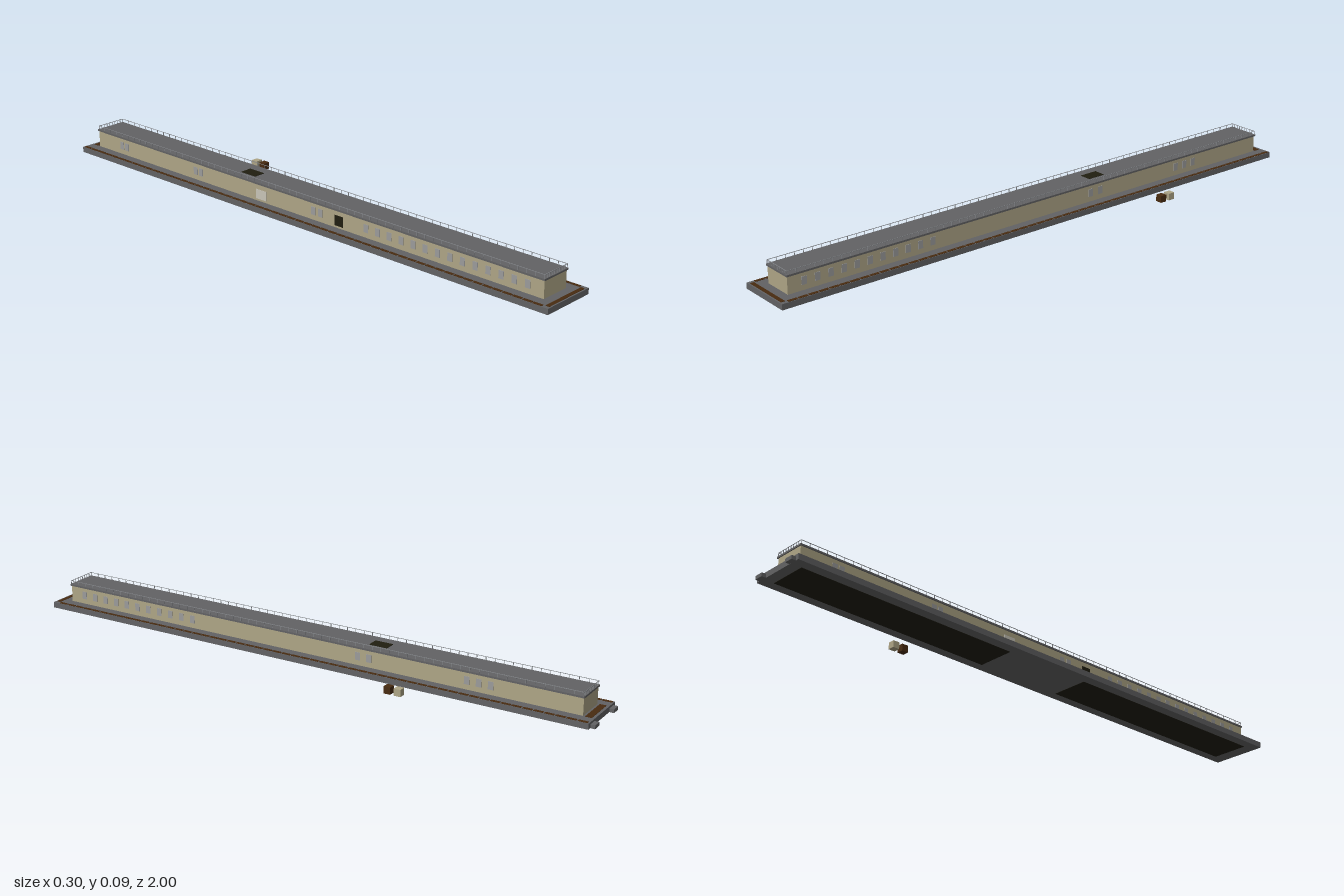
import * as THREE from 'three';

const mat = (name, color) => {
  const m = new THREE.MeshStandardMaterial({ color });
  m.name = name;
  return m;
};

export function createModel() {
  const concrete = mat('concrete grey', 0x626264);
  const tan = mat('tan wall', 0xaea586);
  const brown = mat('soil brown', 0x482b10);
  const dark = mat('dark interior', 0x201e10);
  const rail = mat('rail grey', 0x85888c);
  const glass = mat('window grey', 0x9b9b9b);
  const white = mat('door white', 0xc8c4b8);

  const model = new THREE.Group();
  const group = (name) => {
    const g = new THREE.Group();
    g.name = name;
    model.add(g);
    return g;
  };
  // box given by its extents along each axis
  const box = (name, material, [x0, x1], [y0, y1], [z0, z1], parent = model) => {
    const mesh = new THREE.Mesh(new THREE.BoxGeometry(x1 - x0, y1 - y0, z1 - z0), material);
    mesh.position.set((x0 + x1) / 2, (y0 + y1) / 2, (z0 + z1) / 2);
    mesh.name = name;
    parent.add(mesh);
    return mesh;
  };

  // platform with two small steps at the back
  const top = 0.019;
  box('platform', concrete, [-0.148, 0.047], [0, top], [-0.985, 1]);
  for (const x of [-0.122, 0.018]) box('backStep', concrete, [x - 0.015, x + 0.015], [0, 0.012], [-1, -0.985]);

  // dashed planting strips around the platform edge
  const planting = group('planting');
  const soilY = [top, top + 0.001];
  for (const x of [-0.146, 0.034]) {
    for (let i = 0; i < 56; i++) {
      const z = -0.98 + i * 0.035;
      box('sideSoil', brown, [x, x + 0.011], soilY, [z, z + 0.031], planting);
    }
  }
  box('frontSoil', brown, [-0.135, 0.034], soilY, [0.982, 0.995], planting);
  box('backSoil', brown, [-0.105, 0.004], soilY, [-0.976, -0.955], planting);

  // long hall and roof slab
  box('hall', tan, [-0.103, 0.002], [top, 0.076], [-0.948, 0.953]);
  box('roof', concrete, [-0.106, 0.006], [0.075, 0.081], [-0.951, 0.956]);
  box('roofHatch', dark, [-0.071, -0.031], [0.081, 0.0825], [-0.275, -0.212]);

  // dark floor pits on the underside
  for (const z of [[0.16, 0.95], [-0.95, -0.16]]) {
    box('floorPit', dark, [-0.115, 0.014], [-0.0008, 0.001], z);
  }

  // windows: [side, first z, last z]
  const windows = group('windows');
  const faces = { left: [0.001, 0.0035], right: [-0.1045, -0.102] };
  const rows = [
    ['left', 0.42, 0.92], ['left', -0.25, -0.17], ['left', -0.67, -0.55],
    ['right', 0.27, 0.92], ['right', 0.06, 0.12], ['right', -0.47, -0.42], ['right', -0.84, -0.79],
  ];
  for (const [side, z0, z1] of rows) {
    const n = Math.max(2, Math.round((z1 - z0) / 0.045));
    for (let i = 0; i < n; i++) {
      const z = z0 + ((z1 - z0) * (i + 0.5)) / n;
      box('window', glass, faces[side], [0.036, 0.062], [z - 0.009, z + 0.009], windows);
    }
  }

  // doors on the right wall
  box('paleDoor', white, faces.right, [0.026, 0.058], [-0.175, -0.13]);
  box('darkDoor', dark, faces.right, [0.026, 0.06], [0.165, 0.2]);

  // roof railing
  const railing = group('railing');
  const [x0, x1, z0, z1, y0, y1] = [-0.1035, 0.0035, -0.948, 0.953, 0.081, 0.093];
  const t = 0.0007;
  const post = (x, z) => box('post', rail, [x - t, x + t], [y0, y1], [z - t, z + t], railing);
  for (let i = 0; i <= 62; i++) {
    const z = z0 + ((z1 - z0) * i) / 62;
    post(x0, z);
    post(x1, z);
  }
  for (let i = 1; i < 9; i++) {
    const x = x0 + ((x1 - x0) * i) / 9;
    post(x, z0);
    post(x, z1);
  }
  for (const x of [x0, x1]) box('sideRail', rail, [x - t, x + t], [y1 - t, y1 + t], [z0, z1], railing);
  for (const z of [z0, z1]) box('endRail', rail, [x0, x1], [y1 - t, y1 + t], [z - t, z + t], railing);

  // two loose cubes beside the platform
  const cubeX = [0.125, 0.148];
  const cubeY = [0.013, 0.036];
  box('brownCube', brown, cubeX, cubeY, [-0.389, -0.366]);
  box('tanCube', tan, cubeX, cubeY, [-0.424, -0.401]);

  return model;
}
